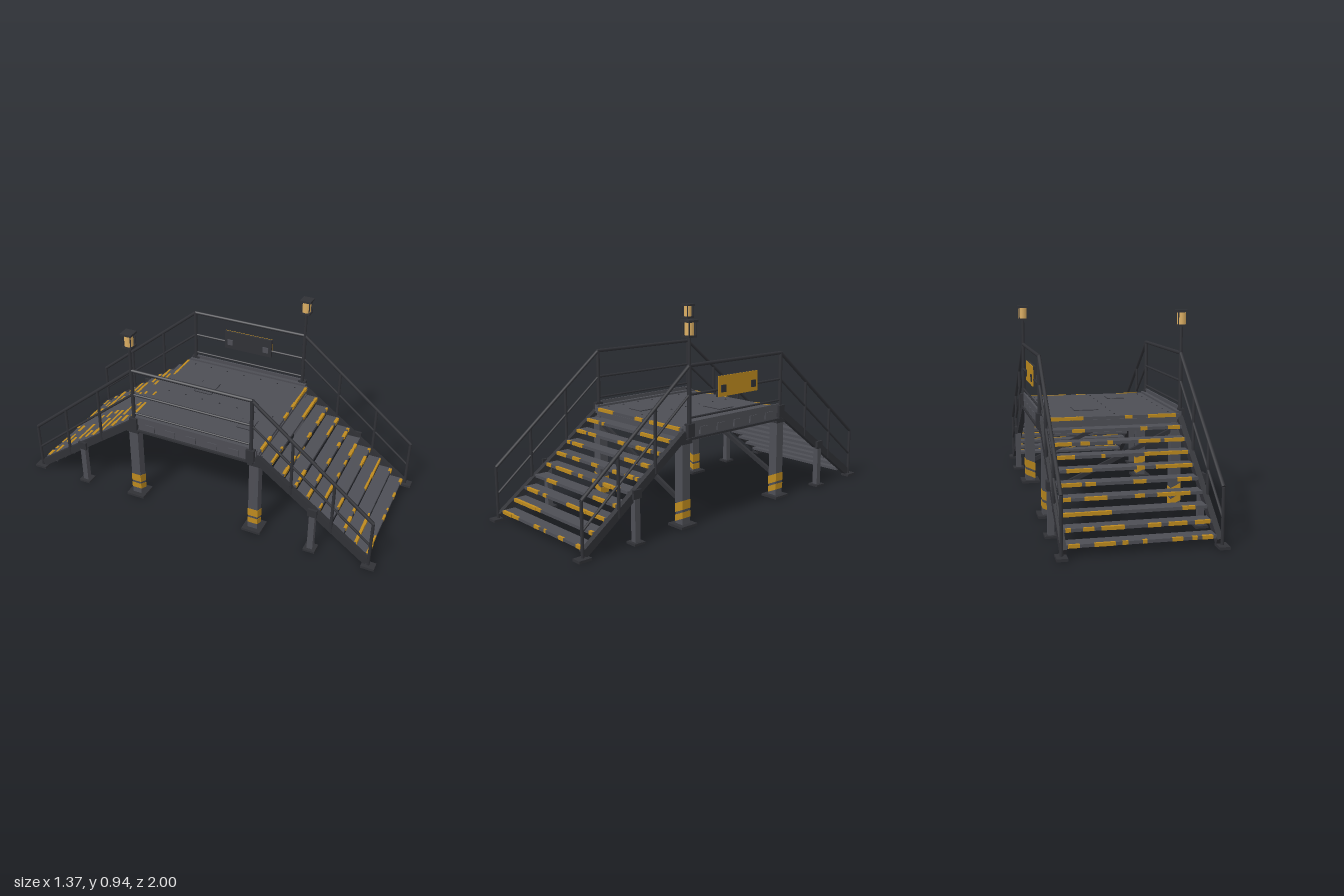
import * as THREE from 'three';

const mat = (name, color) => {
  const m = new THREE.MeshStandardMaterial({ color });
  m.name = name;
  return m;
};

export function createModel() {
  const steel = mat('deck steel', 0x4d4e55);
  const rail = mat('dark rail steel', 0x303136);
  const yellow = mat('hazard yellow', 0xbd8a1e);
  const amber = mat('amber glass', 0xdcae62);

  let seed = 7;
  const rand = () => (seed = (seed * 16807) % 2147483647) / 2147483647;

  const V = (x, y, z) => new THREE.Vector3(x, y, z);
  const box = (parent, name, m, w, h, d, x, y, z) => {
    const mesh = new THREE.Mesh(new THREE.BoxGeometry(w, h, d), m);
    mesh.name = name;
    mesh.position.set(x, y, z);
    parent.add(mesh);
    return mesh;
  };
  // round bar between two points
  const bar = (parent, name, a, b, r = 0.008) => {
    const mesh = new THREE.Mesh(new THREE.CylinderGeometry(r, r, a.distanceTo(b), 8), rail);
    mesh.name = name;
    mesh.position.copy(a).lerp(b, 0.5);
    mesh.quaternion.setFromUnitVectors(V(0, 1, 0), b.clone().sub(a).normalize());
    parent.add(mesh);
  };
  // rectangular beam between two points, in the parent's own frame
  const beam = (parent, name, m, a, b, w, h) => {
    const mid = a.clone().lerp(b, 0.5);
    const mesh = box(parent, name, m, w, h, a.distanceTo(b), mid.x, mid.y, mid.z);
    mesh.quaternion.setFromRotationMatrix(new THREE.Matrix4().lookAt(b, a, V(0, 1, 0)));
  };

  const model = new THREE.Group();
  model.name = 'crossoverPlatform';
  const body = new THREE.Group();
  body.name = 'platformAndStairs';
  body.rotation.y = Math.PI / 8;
  model.add(body);

  const RX = 0.333, RZ = 0.306, DECK = 0.46, END = 0.9;

  // deck plate, hatches and rivets
  box(body, 'deckPlate', steel, 0.64, 0.025, 0.68, 0, DECK - 0.0125, 0);
  box(body, 'deckHatch', rail, 0.118, 0.002, 0.098, 0.09, DECK + 0.001, -0.12);
  box(body, 'deckHatchLid', steel, 0.114, 0.004, 0.094, 0.09, DECK + 0.002, -0.12);
  box(body, 'deckHatch', rail, 0.088, 0.002, 0.078, -0.13, DECK + 0.001, 0.2);
  box(body, 'deckHatchLid', steel, 0.084, 0.004, 0.074, -0.13, DECK + 0.002, 0.2);
  for (const x of [-0.28, -0.02, 0.28])
    for (let i = -3; i <= 3; i++) box(body, 'deckRivet', rail, 0.006, 0.003, 0.006, x, DECK + 0.001, i * 0.095);

  // joists under the deck
  for (let i = -3; i <= 3; i++) box(body, 'crossJoist', steel, 0.62, 0.03, 0.018, 0, 0.422, i * 0.09);
  for (let i = -2; i <= 2; i++) box(body, 'longJoist', rail, 0.018, 0.02, 0.62, i * 0.11, 0.424, 0);

  // end beams
  for (const s of [-1, 1]) {
    box(body, 'endBeam', steel, 0.64, 0.045, 0.02, 0, 0.415, s * 0.325);
    box(body, 'endLip', steel, 0.64, 0.012, 0.012, 0, 0.44, s * 0.338);
  }

  // worn paint along a step nose, thickest towards the ends
  const nosing = (parent, y, z) => {
    let x = -0.305;
    while (x < 0.295) {
      const len = Math.min(0.015 + rand() * 0.045, 0.305 - x);
      if (rand() < (Math.abs(x + len / 2) > 0.12 ? 0.74 : 0.16))
        box(parent, 'nosingPaint', yellow, len, 0.0155, 0.008 + rand() * 0.008, x + len / 2, y - 0.0065, z - 0.004);
      x += len;
    }
  };

  const stringerY = z => 0.44 - ((z - 0.33) * 0.425) / 0.57;

  // one stair flight, repeated at the other end
  for (const turn of [0, Math.PI]) {
    const stair = new THREE.Group();
    stair.name = turn ? 'backStair' : 'frontStair';
    stair.rotation.y = turn;
    body.add(stair);

    nosing(stair, DECK, 0.342);
    for (let i = 1; i <= 9; i++) {
      const y = DECK - 0.0455 * i, z = 0.34 + 0.061 * i;
      box(stair, 'tread', steel, 0.625, 0.014, 0.066, 0, y - 0.007, z - 0.033);
      nosing(stair, y, z);
    }

    for (const s of [-1, 1]) {
      const x = s * RX;
      beam(stair, 'stringer', rail, V(s * 0.324, 0.435, 0.325), V(s * 0.324, 0.022, 0.892), 0.026, 0.036);
      box(stair, 'stringerFoot', rail, 0.046, 0.012, 0.064, s * 0.334, 0.006, 0.902);

      // mid-flight support
      const top = stringerY(0.62);
      box(stair, 'stairLeg', steel, 0.028, top, 0.028, s * 0.333, top / 2, 0.62);
      box(stair, 'stairLegFoot', rail, 0.058, 0.01, 0.058, s * 0.333, 0.005, 0.62);
      box(stair, 'stairLegBracket', rail, 0.012, 0.04, 0.045, s * 0.344, top, 0.62);

      // sloping handrail
      const railY = z => 0.74 - ((z - RZ) * 0.485) / (END - RZ);
      bar(stair, 'stairHandrail', V(x, 0.74, RZ), V(x, railY(END), END), 0.0085);
      bar(stair, 'stairMidRail', V(x, 0.61, RZ), V(x, 0.125, END), 0.006);
      for (const z of [0.506, 0.71, END])
        bar(stair, 'stairRailPost', V(x, Math.max(stringerY(z) - 0.02, 0.01), z), V(x, railY(z), z), 0.0075);

      // main leg with slanted hazard bands
      const lx = s * 0.304, lz = 0.32;
      box(stair, 'mainLeg', steel, 0.048, 0.42, 0.048, lx, 0.21, lz);
      box(stair, 'mainLegFoot', rail, 0.095, 0.012, 0.095, lx, 0.006, lz);
      box(stair, 'mainLegCap', rail, 0.062, 0.02, 0.062, lx, 0.398, lz);
      for (const [y, h] of [[0.047, 0.03], [0.095, 0.042]]) {
        const band = box(stair, 'legHazardBand', yellow, 0.051, h, 0.051, lx, y, lz);
        const p = band.geometry.attributes.position;
        for (let i = 0; i < p.count; i++) p.setY(i, p.getY(i) + s * p.getX(i) * 0.45);
        band.geometry.computeVertexNormals();
      }
    }
  }

  // diagonal braces between the legs
  for (const z of [-0.32, 0.32])
    beam(body, 'diagonalBrace', rail, V(-0.3, 0.385, z), V(0.3, 0.11, z), 0.016, 0.02);

  // platform sides: fascia, ribs and guard rails
  for (const s of [-1, 1]) {
    const x = s * RX;
    box(body, 'sideBeam', steel, 0.022, 0.07, 0.66, s * 0.322, 0.435, 0);
    box(body, 'toeBoard', steel, 0.008, 0.045, 0.62, x, 0.465, 0);
    box(body, 'sideLip', rail, 0.014, 0.01, 0.64, s * 0.337, 0.41, 0);
    for (let i = -2; i <= 2; i++) box(body, 'sideRib', steel, 0.01, 0.034, 0.05, s * 0.336, 0.44, i * 0.11);
    bar(body, 'guardTopRail', V(x, 0.74, -RZ), V(x, 0.74, RZ), 0.0085);
    bar(body, 'guardMidRail', V(x, 0.61, -RZ), V(x, 0.61, RZ), 0.006);
    bar(body, 'guardLowRail', V(x, 0.505, -RZ), V(x, 0.505, RZ), 0.005);
    for (const t of [-1, 1]) {
      bar(body, 'guardPost', V(x, 0.41, t * RZ), V(x, 0.744, t * RZ), 0.0095);
      box(body, 'guardPostBracket', rail, 0.026, 0.06, 0.04, s * 0.337, 0.45, t * RZ);
    }
  }

  // caged beacon lamps on two opposite corners
  for (const s of [-1, 1]) {
    const lamp = new THREE.Group();
    lamp.name = 'beaconLamp';
    lamp.position.set(s * RX, 0, s * RZ);
    body.add(lamp);
    bar(lamp, 'lampPole', V(0, 0.73, 0), V(0, 0.868, 0), 0.0075);
    box(lamp, 'lampBase', rail, 0.048, 0.01, 0.048, 0, 0.869, 0);
    box(lamp, 'lampCap', rail, 0.056, 0.01, 0.056, 0, 0.935, 0);
    const glass = new THREE.Mesh(new THREE.CylinderGeometry(0.021, 0.021, 0.056, 16), amber);
    glass.name = 'lampGlass';
    glass.position.y = 0.902;
    lamp.add(glass);
    for (const a of [-1, 1])
      for (const b of [-1, 1]) box(lamp, 'lampCageBar', rail, 0.004, 0.06, 0.004, a * 0.02, 0.902, b * 0.02);
  }

  // blank warning board hung on one guard rail
  box(body, 'boardBack', rail, 0.012, 0.097, 0.262, 0.331, 0.625, 0);
  box(body, 'boardFace', yellow, 0.004, 0.097, 0.262, 0.339, 0.625, 0);
  for (const s of [-1, 1]) {
    box(body, 'boardClip', rail, 0.006, 0.034, 0.03, 0.343, 0.614, s * 0.1);
    box(body, 'boardClipBack', steel, 0.006, 0.03, 0.03, 0.323, 0.614, s * 0.1);
  }

  return model;
}
